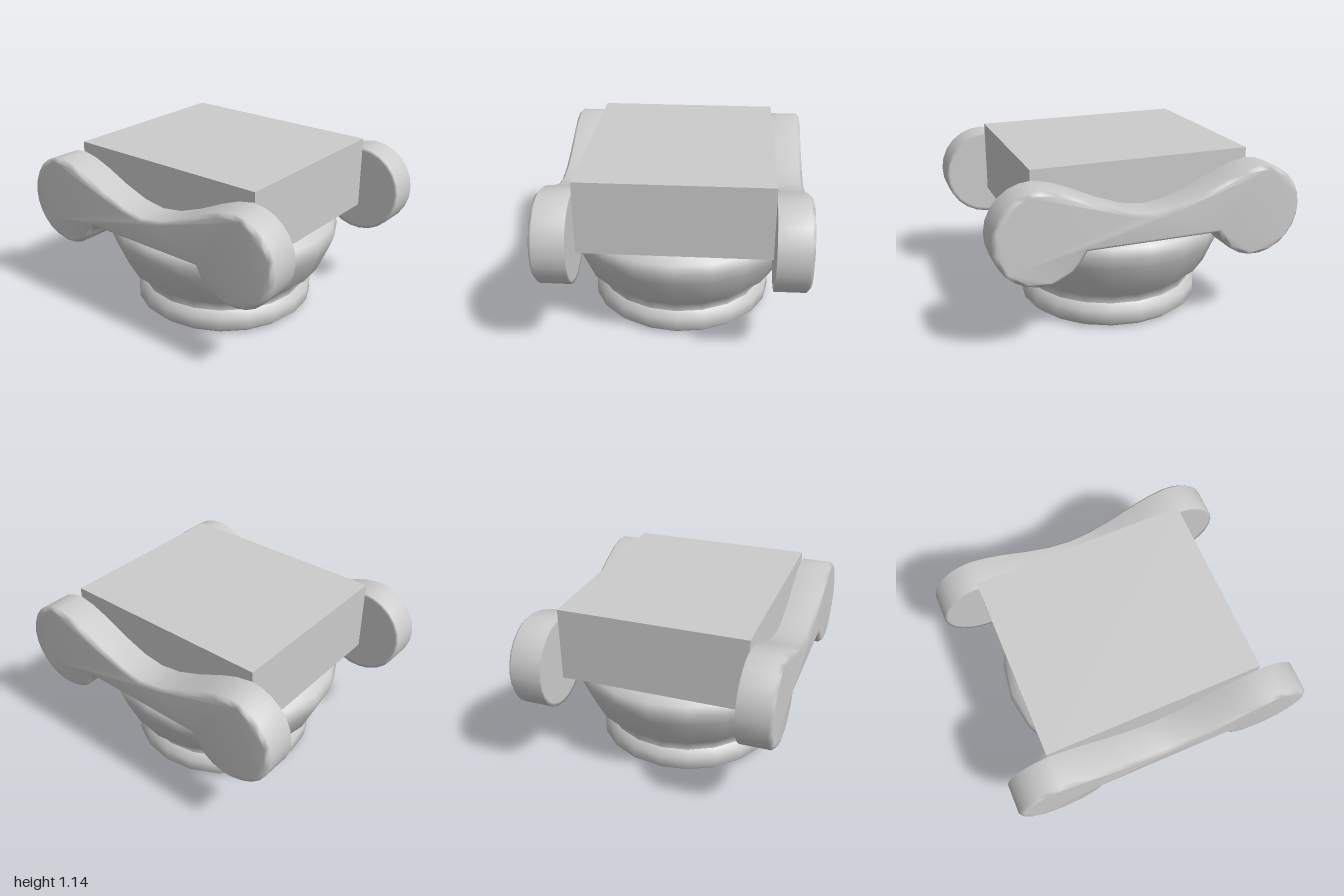
import * as THREE from 'three';
import { mergeVertices } from 'three/addons/utils/BufferGeometryUtils.js';

const material = new THREE.MeshStandardMaterial({ color: 0xcccccc });

function addMesh(group, name, geometry) {
  const mesh = new THREE.Mesh(geometry, material);
  mesh.name = name;
  group.add(mesh);
  return mesh;
}

// Outline of a scroll: two round ends joined by a sagging band
function scrollShape() {
  const cx = 0.705, cy = 0.78, r = 0.295, bandY = 0.67;
  const steps = 17;
  const start = Math.PI + Math.asin((cy - bandY) / r);
  const end = Math.PI * 2.5;
  const right = [];
  for (let i = 0; i <= steps; i++) {
    const a = start + (end - start) * i / steps;
    right.push(new THREE.Vector2(cx + r * Math.cos(a), cy + r * Math.sin(a)));
  }
  for (const [x, y] of [[0.6, 1.055], [0.48, 1.01], [0.32, 0.935], [0.15, 0.872]]) {
    right.push(new THREE.Vector2(x, y));
  }
  const left = right.map(p => new THREE.Vector2(-p.x, p.y)).reverse();
  return new THREE.Shape([...right, new THREE.Vector2(0, 0.85), ...left]);
}

// Softly shaded slab, bevelled on its outer face only
function scrollGeometry() {
  const bevel = 0.022;
  const geo = new THREE.ExtrudeGeometry(scrollShape(), {
    depth: 0.215 - bevel, steps: 1, bevelEnabled: true, bevelSegments: 1,
    bevelSize: bevel, bevelThickness: bevel, bevelOffset: -bevel,
  });
  const pos = geo.attributes.position;
  for (let i = 0; i < pos.count; i++) pos.setZ(i, Math.max(0, pos.getZ(i)));
  geo.deleteAttribute('uv');
  geo.deleteAttribute('normal');
  const smooth = mergeVertices(geo, 1e-4);
  smooth.computeVertexNormals();
  return smooth.translate(0, 0, 0.61);
}

export function createModel() {
  const group = new THREE.Group();
  group.name = 'columnCapital';

  // Turned base ring, neck and bowl; doubled points keep edges sharp
  const profile = [
    [0, 0], [0.57, 0], [0.57, 0], [0.615, 0.04], [0.615, 0.12], [0.57, 0.16],
    [0.57, 0.16], [0.57, 0.21], [0.68, 0.3], [0.757, 0.48], [0.785, 0.56],
    [0.765, 0.62], [0.71, 0.66], [0.71, 0.66], [0, 0.66],
  ].map(([x, y]) => new THREE.Vector2(x, y));
  addMesh(group, 'bowlAndRing', new THREE.LatheGeometry(profile, 20));

  // Square top block
  addMesh(group, 'topBlock', new THREE.BoxGeometry(1.42, 0.48, 1.22)).position.y = 0.9;

  // Scrolls on the front and back
  const scroll = scrollGeometry();
  addMesh(group, 'frontScroll', scroll);
  addMesh(group, 'backScroll', scroll).rotation.y = Math.PI;

  return group;
}
